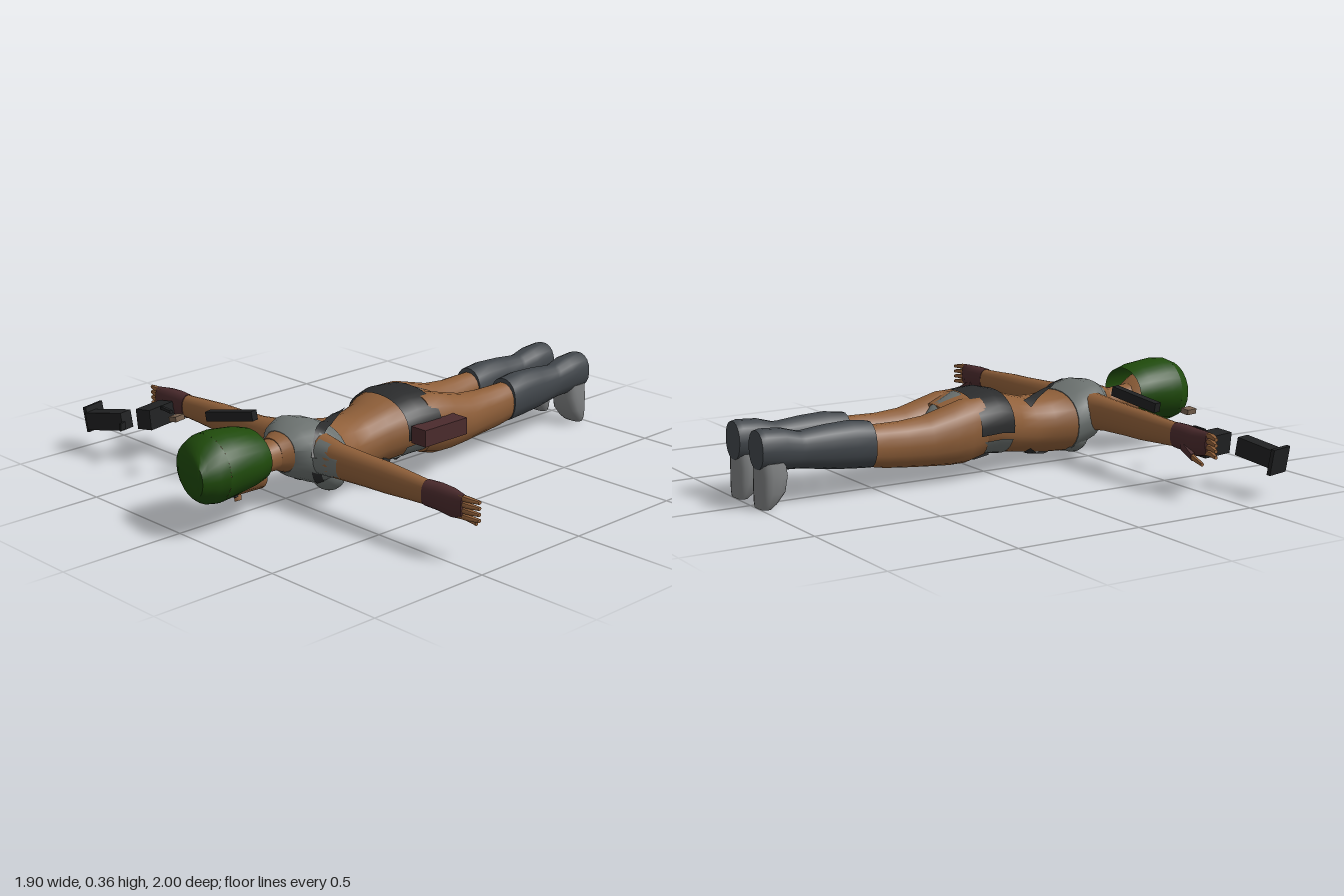
import * as THREE from 'three';
import { toCreasedNormals } from 'three/addons/utils/BufferGeometryUtils.js';

const MID = 0.04; // symmetry plane of the body
const mat = (name, color, open) => {
  const m = new THREE.MeshStandardMaterial({ color });
  m.name = name;
  if (open) m.side = THREE.DoubleSide;
  return m;
};

// Skin through elliptical sections [t, cu, cv, ru, rv] along an axis.
// Cross-plane (u, v) is (x, y) for z, (y, z) for x and (z, x) for y.
function loft(axis, sections, { n = 18, p = 2.2, grow = 1, from = 0, to = 360 } = {}) {
  const S = [...sections].sort((a, b) => a[0] - b[0]);
  const ti = 'xyz'.indexOf(axis), ui = (ti + 1) % 3, vi = (ti + 2) % 3;
  const pos = [], idx = [], closed = to - from === 360;
  const put = (t, u, v) => {
    const q = [0, 0, 0];
    q[ti] = t; q[ui] = u; q[vi] = v;
    pos.push(...q);
    return pos.length / 3 - 1;
  };
  const pw = (c) => Math.sign(c) * Math.abs(c) ** (2 / p);
  S.forEach(([t, cu, cv, ru, rv]) => {
    for (let i = 0; i <= n; i++) {
      const a = THREE.MathUtils.degToRad(from + (to - from) * i / n);
      put(t, cu + ru * grow * pw(Math.cos(a)), cv + rv * grow * pw(Math.sin(a)));
    }
  });
  for (let k = 0; k < S.length - 1; k++) for (let i = 0; i < n; i++) {
    const a = k * (n + 1) + i, c = a + n + 1;
    idx.push(a, a + 1, c, a + 1, c + 1, c);
  }
  if (closed) {
    const a = put(...S[0].slice(0, 3)), b = put(...S.at(-1).slice(0, 3)), r = (S.length - 1) * (n + 1);
    for (let i = 0; i < n; i++) idx.push(a, i + 1, i, b, r + i, r + i + 1);
  }
  const g = new THREE.BufferGeometry();
  g.setAttribute('position', new THREE.Float32BufferAttribute(pos, 3));
  g.setIndex(idx);
  return toCreasedNormals(g, 0.8);
}

// Mirror sections across the body's middle plane
const xSlot = { x: 0, z: 1, y: 2 };
const mirror = (axis, S) => S.map((s) => s.map((v, i) => (i === xSlot[axis] ? 2 * MID - v : v)));

// Torso from hips to base of neck
const TORSO = [
  [-0.2, 0.04, 0.19, 0.12, 0.09], [-0.1, 0.04, 0.195, 0.178, 0.122], [0, 0.04, 0.2, 0.175, 0.125],
  [0.06, 0.038, 0.19, 0.162, 0.122], [0.12, 0.038, 0.175, 0.135, 0.115], [0.2, 0.038, 0.16, 0.125, 0.11],
  [0.28, 0.038, 0.155, 0.13, 0.115], [0.36, 0.032, 0.16, 0.162, 0.12], [0.4, 0.03, 0.175, 0.17, 0.122],
  [0.46, 0.03, 0.195, 0.168, 0.118], [0.52, 0.035, 0.205, 0.13, 0.1], [0.56, 0.04, 0.21, 0.085, 0.075],
  [0.6, 0.04, 0.21, 0.06, 0.06],
];
const slice = (z0, z1) => TORSO.filter((s) => s[0] >= z0 && s[0] <= z1);

// Height of the torso surface on the back (+1) or the front (-1)
function torsoY(x, z, side) {
  const k = Math.max(1, TORSO.findIndex((s) => s[0] >= z));
  const f = (z - TORSO[k - 1][0]) / (TORSO[k][0] - TORSO[k - 1][0]);
  const [, cx, cy, rx, ry] = TORSO[k].map((v, i) => THREE.MathUtils.lerp(TORSO[k - 1][i], v, f));
  const d = Math.min(1, Math.abs((x - cx) / rx));
  return cy + side * (ry * (1 - d ** 2.2) ** (1 / 2.2) + 0.008);
}

// Ribbon lying on the torso between two [x, z] points
function strap(a, b, side) {
  const pos = [], idx = [], n = 16, len = Math.hypot(b[0] - a[0], b[1] - a[1]);
  const px = (b[1] - a[1]) / len * 0.016, pz = -(b[0] - a[0]) / len * 0.016;
  for (let i = 0; i <= n; i++) for (const s of [-1, 1]) {
    const x = a[0] + (b[0] - a[0]) * i / n + s * px, z = a[1] + (b[1] - a[1]) * i / n + s * pz;
    pos.push(x, torsoY(x, z, side), z);
    if (s < 0 && i < n) {
      const q = 2 * i;
      idx.push(...(side > 0 ? [q, q + 2, q + 1, q + 1, q + 2, q + 3] : [q, q + 1, q + 2, q + 1, q + 3, q + 2]));
    }
  }
  const g = new THREE.BufferGeometry();
  g.setAttribute('position', new THREE.Float32BufferAttribute(pos, 3));
  g.setIndex(idx);
  g.computeVertexNormals();
  return g;
}

export function createModel() {
  const root = new THREE.Group();
  const skin = mat('skin', 0x8f5f39), hair = mat('hair green', 0x1f4a0b, true);
  const cloth = mat('grey cloth', 0x6c7270, true), boot = mat('boot slate', 0x41464b);
  const toe = mat('toe grey', 0x7f8182), leather = mat('maroon leather', 0x4b2b2d);
  const dark = mat('belt black', 0x2a2b2c, true), metal = mat('gunmetal', 0x202122), tan = mat('tan metal', 0x75604e);
  const add = (name, geo, material, parent = root) => {
    const m = new THREE.Mesh(geo, material);
    m.name = name;
    parent.add(m);
    return m;
  };
  const pair = (name, axis, S, material, opt) => {
    add('left' + name, loft(axis, S, opt), material);
    add('right' + name, loft(axis, mirror(axis, S), opt), material);
  };
  const box = (name, size, at, material, rot = [0, 0, 0]) => {
    const m = add(name, new THREE.BoxGeometry(...size), material);
    m.position.set(...at);
    m.rotation.set(...rot);
    return m;
  };

  // Torso and clothing
  add('torso', loft('z', TORSO, { n: 24 }), skin);
  add('top', loft('z', slice(0.36, 0.56), { n: 24, grow: 1.025 }), cloth);
  for (const s of [-1, 1]) {
    const bust = add('bust', new THREE.SphereGeometry(0.075, 16, 12), cloth);
    bust.position.set(MID + s * 0.075, 0.11, 0.39);
    bust.scale.set(1, 0.95, 0.85);
  }
  add('leftShoulderCloth', loft('x', [[0.17, 0.205, 0.455, 0.075, 0.061], [0.23, 0.205, 0.459, 0.07, 0.053],
    [0.29, 0.2, 0.462, 0.055, 0.05]], { from: 25, to: 155, n: 8 }), cloth);
  add('underwearBack', loft('z', [[-0.25, 0.04, 0.18, 0.012, 0.05], [-0.2, 0.04, 0.2, 0.05, 0.08],
    [-0.1, 0.04, 0.2, 0.11, 0.122]]), cloth);
  add('underwearFront', loft('z', slice(-0.1, 0.06), { from: 200, to: 340, grow: 1.03 }), cloth);
  add('belt', loft('z', slice(-0.1, 0.06), { from: -8, to: 188, grow: 1.05 }), dark);
  box('frontPouch', [0.07, 0.03, 0.1], [MID, 0.07, -0.02], dark, [0, 0.4, 0]);
  box('sheath', [0.025, 0.05, 0.09], [0.14, 0.09, 0.13], dark, [0.5, 0.5, 0]);
  add('backStrap', strap([-0.05, 0.17], [0.19, 0.52], 1), dark);
  add('frontStrap', strap([-0.05, 0.17], [0.17, 0.5], -1), dark);
  box('holster', [0.075, 0.066, 0.225], [0.252, 0.198, -0.057], leather);

  // Legs and boots
  pair('Thigh', 'z', [[-0.06, 0.13, 0.195, 0.085, 0.115], [-0.13, 0.132, 0.185, 0.091, 0.122],
    [-0.2, 0.132, 0.175, 0.09, 0.113], [-0.3, 0.13, 0.165, 0.085, 0.096], [-0.4, 0.13, 0.165, 0.07, 0.088],
    [-0.48, 0.134, 0.17, 0.064, 0.084], [-0.56, 0.135, 0.178, 0.062, 0.077]], skin);
  pair('Boot', 'z', [[-0.54, 0.136, 0.184, 0.068, 0.088], [-0.62, 0.136, 0.192, 0.07, 0.09],
    [-0.72, 0.136, 0.195, 0.065, 0.083], [-0.82, 0.137, 0.198, 0.055, 0.07], [-0.84, 0.137, 0.2, 0.055, 0.07],
    [-0.9, 0.136, 0.21, 0.062, 0.077], [-0.98, 0.136, 0.216, 0.065, 0.076], [-1, 0.136, 0.216, 0.06, 0.072]], boot);
  pair('Toe', 'y', [[0, -0.978, 0.136, 0.021, 0.042], [0.02, -0.967, 0.136, 0.033, 0.054],
    [0.06, -0.951, 0.136, 0.049, 0.063], [0.12, -0.945, 0.136, 0.055, 0.064], [0.17, -0.948, 0.136, 0.052, 0.058]], toe, { p: 3 });

  // Arms, gloves and fingers
  pair('Arm', 'x', [[0.12, 0.205, 0.45, 0.08, 0.062], [0.2, 0.205, 0.457, 0.072, 0.056], [0.26, 0.205, 0.463, 0.066, 0.048],
    [0.4, 0.205, 0.46, 0.06, 0.042], [0.5, 0.205, 0.458, 0.058, 0.04], [0.62, 0.205, 0.458, 0.05, 0.034],
    [0.72, 0.205, 0.46, 0.044, 0.03]], skin);
  pair('Glove', 'x', [[0.7, 0.205, 0.46, 0.048, 0.033], [0.76, 0.205, 0.457, 0.05, 0.035],
    [0.82, 0.2, 0.457, 0.052, 0.032], [0.88, 0.202, 0.466, 0.045, 0.017]], leather);
  for (const y of [0.168, 0.19, 0.212, 0.234]) {
    pair('Finger', 'x', [[0.86, y, 0.466, 0.0115, 0.013], [0.9, y, 0.465, 0.011, 0.012],
      [0.94, y - 0.004, 0.452, 0.007, 0.008]], skin, { n: 8 });
  }
  pair('ThumbGlove', 'x', [[0.77, 0.18, 0.44, 0.022, 0.02], [0.84, 0.15, 0.426, 0.015, 0.012]], leather, { n: 8 });
  pair('Thumb', 'x', [[0.83, 0.152, 0.427, 0.013, 0.01], [0.9, 0.134, 0.422, 0.007, 0.007]], skin, { n: 8 });

  // Neck and face, which looks down
  add('neck', loft('z', [[0.55, 0.04, 0.212, 0.066, 0.063], [0.64, 0.04, 0.205, 0.055, 0.055], [0.76, 0.04, 0.21, 0.06, 0.06]]), skin);
  add('head', loft('z', [[0.645, 0.04, 0.135, 0.025, 0.025], [0.675, 0.04, 0.16, 0.065, 0.06], [0.72, 0.04, 0.185, 0.09, 0.08],
    [0.78, 0.04, 0.205, 0.108, 0.096], [0.86, 0.04, 0.215, 0.115, 0.103], [0.93, 0.04, 0.22, 0.1, 0.09]]), skin);
  const nose = add('nose', new THREE.ConeGeometry(0.018, 0.06, 4), skin);
  nose.position.set(MID, 0.107, 0.775);
  nose.rotation.x = 0.45;
  for (const s of [-1, 1]) box('eye', [0.032, 0.008, 0.014], [MID + s * 0.042, 0.116, 0.815], dark, [0.12, 0, s * 0.2]);

  // Hair: open around the face, closed over the crown
  const crown = [[0.9, 0.04, 0.23, 0.137, 0.128], [0.94, 0.043, 0.226, 0.127, 0.115], [0.965, 0.058, 0.224, 0.1, 0.094],
    [0.985, 0.09, 0.223, 0.06, 0.072], [1, 0.115, 0.223, 0.025, 0.05]];
  add('hairCrown', loft('z', crown, { n: 24, p: 2 }), hair);
  add('hairSides', loft('z', [[0.7, 0.04, 0.235, 0.122, 0.098], [0.75, 0.04, 0.236, 0.135, 0.112],
    [0.85, 0.04, 0.235, 0.14, 0.126], crown[0]], { n: 24, p: 2, from: -58, to: 238 }), hair);

  // Loose weapon pieces beside the right arm
  box('weaponGrip', [0.07, 0.08, 0.14], [-0.695, 0.175, 0.565], metal, [0, 0.2, 0.1]);
  box('weaponPin', [0.07, 0.012, 0.012], [-0.62, 0.215, 0.567], metal, [0, -0.1, 0]);
  box('weaponStock', [0.185, 0.07, 0.06], [-0.835, 0.15, 0.687], metal, [0, 0.23, 0.17]);
  box('stockPlate', [0.015, 0.1, 0.1], [-0.935, 0.14, 0.685], metal, [0, 0.25, 0.17]);
  box('weaponBarrel', [0.22, 0.038, 0.033], [-0.258, 0.272, 0.54], metal, [0, 0.24, 0.18]);
  box('looseCatch', [0.035, 0.02, 0.05], [-0.443, 0.245, 0.655], tan, [0, 0.2, 0.15]);
  box('looseTrigger', [0.008, 0.03, 0.035], [-0.71, 0.16, 0.715], metal, [0, 0.4, 0]);
  return root;
}
